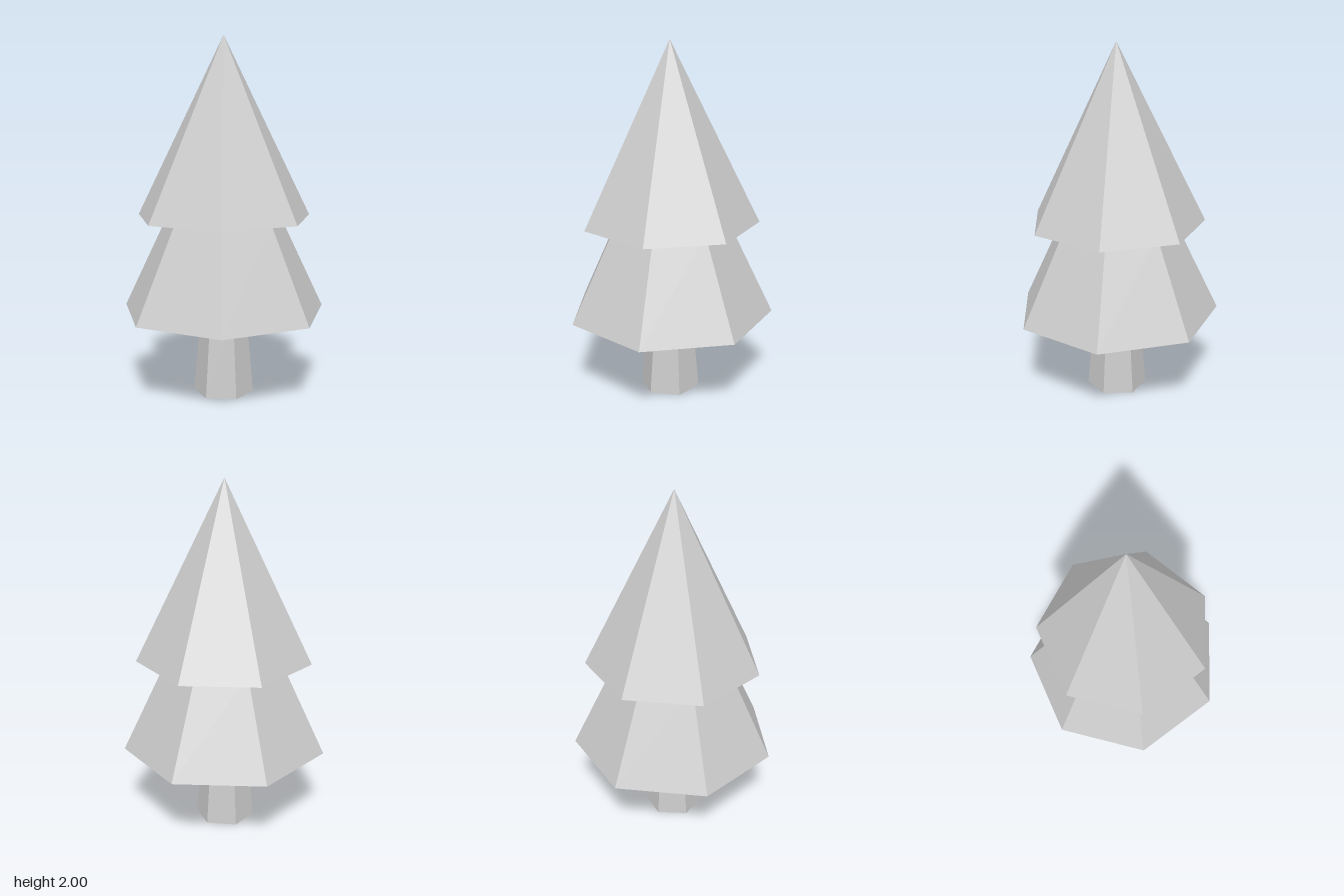
import * as THREE from 'three';

const CENTRE_Z = 0.028;
const material = new THREE.MeshStandardMaterial({ color: 0xcccccc, flatShading: true });

// One tapered, flat-sided section standing between two heights
function section(name, sides, bottomRadius, topRadius, bottom, top, turn = 0) {
  const height = top - bottom;
  const geometry = topRadius === 0
    ? new THREE.ConeGeometry(bottomRadius, height, sides)
    : new THREE.CylinderGeometry(topRadius, bottomRadius, height, sides);
  const mesh = new THREE.Mesh(geometry, material);
  mesh.name = name;
  mesh.position.set(0, bottom + height / 2, CENTRE_Z);
  mesh.rotation.y = turn;
  return mesh;
}

export function createModel() {
  const tree = new THREE.Group();
  tree.name = 'tree';
  // Six-sided trunk with a corner to the front
  tree.add(section('trunk', 6, 0.17, 0.128, 0, 0.472));
  // Seven-sided foliage tiers with a flat side to the front
  tree.add(section('lowerFoliage', 7, 0.583, 0.326, 0.472, 1.005, Math.PI));
  tree.add(section('upperFoliage', 7, 0.498, 0, 1.005, 2, Math.PI));
  return tree;
}
